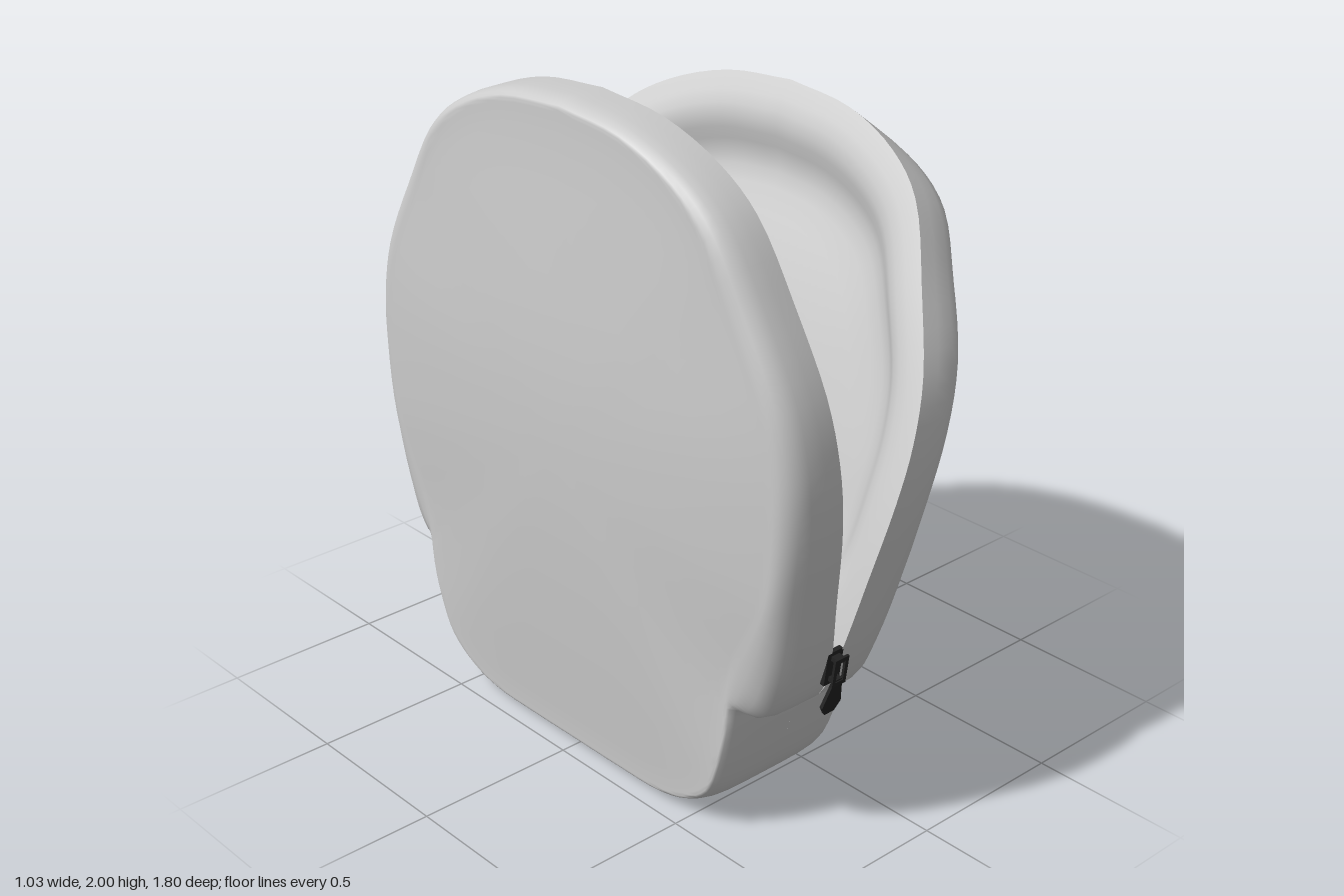
import * as THREE from 'three';
import { toCreasedNormals } from 'three/addons/utils/BufferGeometryUtils.js';

const grey = new THREE.MeshStandardMaterial({ color: 0xcccccc, side: THREE.DoubleSide });
const dark = new THREE.MeshStandardMaterial({ color: 0x222222 });
const { smoothstep, lerp, clamp } = THREE.MathUtils;

// Profile curve in the x-y plane, one point per 0.25 of the bag's flat height v
const curve = pts => new THREE.CatmullRomCurve3(
  pts.map(([x, y]) => new THREE.Vector3(x, y, 0)), false, 'catmullrom', 0.5);
const upright = xs => curve(xs.map((x, i) => [x, i * 0.25]));
const at = (c, v) => c.getPoint(clamp(v / 2, 0, 1));

// Closed bag outline as (z, v); the step is where the wide band meets the base
function bagOutline(step) {
  const half = new THREE.CatmullRomCurve3([
    [0, 0], [0.2, 0], [0.38, 0.006], [0.5, 0.04], [0.595, 0.11], [0.645, 0.22], [0.685, 0.37],
    ...step, [0.872, 0.8], [0.898, 1.03], [0.893, 1.2], [0.85, 1.38], [0.735, 1.6], [0.6, 1.8],
    [0.46, 1.9], [0.25, 1.975], [0, 2],
  ].map(([z, v]) => new THREE.Vector3(z, v, 0))).getPoints(76);
  const mirrored = half.slice(1, -1).reverse().map(p => new THREE.Vector3(-p.x, p.y, 0));
  return [...half, ...mirrored];
}
const notched = bagOutline([[0.702, 0.43], [0.738, 0.415], [0.778, 0.44], [0.828, 0.56]]);
const smooth = bagOutline([[0.698, 0.42], [0.715, 0.47], [0.75, 0.55], [0.805, 0.65]]);

// Rows of [inset from the outline, depth from rim (0) to outer face (1)]
const innerRows = [
  [0.9, 0.72], [0.7, 0.72], [0.52, 0.72], [0.38, 0.72], [0.3, 0.71], [0.25, 0.67], [0.21, 0.58],
  [0.175, 0.43], [0.145, 0.26], [0.115, 0.12], [0.085, 0.045], [0.05, 0.01], [0, 0],
];
const outerRows = groove => [
  [0, 0.3], [0.003, 0.6], [0.012, 0.78], [0.03, 0.91], [0.05, 0.98], [0.068, 1],
  [0.08, 1 - groove], [0.095, 1], [0.13, 1], [0.2, 1], [0.3, 1], [0.45, 1], [0.6, 1], [0.75, 1], [0.9, 1],
];

// Half shell swept from the inner face, over the rim, to the outer face
function shell(name, rim, edge, face, groove, flip) {
  const inner = innerRows.length;
  const rows = [...innerRows, ...outerRows(groove)];
  const n = notched.length, positions = [], index = [];
  rows.forEach(([d, f], i) => notched.forEach((p0, j) => {
    // The notch fades out away from the outline
    const p = p0.clone().lerp(smooth[j], smoothstep(d, 0, 0.08));
    // Lip is slim at the bottom; outer rounding is tight at top and bottom
    const low = lerp(0.35, 1, smoothstep(p.y, 0.3, 0.6));
    const tight = i < inner ? low : Math.min(low, lerp(1, 0.35, smoothstep(p.y, 1.6, 2)));
    const k = 1 - d * lerp(tight, 1, smoothstep(d, 0.1, 0.5)) / 0.9;
    const v = 1 + (p.y - 1) * k;
    // The face swells away from its edge; the base has no groove
    const bulge = 1 - Math.min(1, k / 0.917) ** 2.5;
    const depth = d === 0.08 ? lerp(1, f, smoothstep(p.y, 0.42, 0.55)) : f;
    const q = at(rim, v).lerp(at(edge, v).lerp(at(face, v), bulge), depth);
    positions.push(q.x, q.y, p.x * k);
    if (i === rows.length - 1) return;
    const a = i * n + j, b = i * n + (j + 1) % n, c = a + n, e = b + n;
    if (i > 0) index.push(...(flip ? [a, c, b] : [a, b, c]));
    if (i < rows.length - 2) index.push(...(flip ? [b, c, e] : [b, e, c]));
  }));
  const g = new THREE.BufferGeometry();
  g.setAttribute('position', new THREE.Float32BufferAttribute(positions, 3));
  g.setIndex(index);
  const mesh = new THREE.Mesh(toCreasedNormals(g, 0.9), grey);
  mesh.name = name;
  return mesh;
}

function plate(points, depth, hole) {
  const toV = ([x, y]) => new THREE.Vector2(x, y);
  const s = new THREE.Shape(points.map(toV));
  if (hole) s.holes.push(new THREE.Path(hole.map(toV)));
  return new THREE.ExtrudeGeometry(s, { depth, bevelEnabled: false }).translate(0, 0, -depth / 2);
}
const rect = (w, h) => [[-w, -h], [w, -h], [w, h], [-w, h]];

// Zip slider with a hanging tab; +z points away from the bag
function zipPull(name, sliderTurn, tabX, tabTilt) {
  const pull = new THREE.Group();
  pull.name = name;
  const slider = new THREE.Group();
  slider.name = 'slider';
  slider.rotation.z = sliderTurn;
  const add = (parent, geo, n, z) => {
    const m = new THREE.Mesh(geo, dark);
    m.name = n;
    m.position.z = z;
    parent.add(m);
    return m;
  };
  add(slider, new THREE.BoxGeometry(0.058, 0.108, 0.014), 'sliderBase', -0.008);
  add(slider, plate(rect(0.026, 0.045), 0.008, rect(0.014, 0.032)), 'sliderFrame', 0.022);
  for (const y of [-0.034, 0.034])
    add(slider, new THREE.BoxGeometry(0.03, 0.014, 0.034), 'sliderPost', 0.006).position.y = y;
  const tab = add(pull, plate([
    [-0.016, 0.01], [-0.036, -0.075], [-0.018, -0.106], [0.018, -0.106], [0.036, -0.075], [0.016, 0.01],
  ], 0.01), 'pullTab', 0.016);
  tab.position.x = tabX;
  tab.position.y = sliderTurn ? -0.012 : -0.045;
  tab.rotation.x = tabTilt;
  pull.add(slider);
  return pull;
}

export function createModel() {
  const model = new THREE.Group();
  model.name = 'openBag';

  // Upright back half
  model.add(shell('backShell',
    upright([-0.22, -0.22, -0.225, -0.255, -0.272, -0.29, -0.303, -0.306, -0.305]),
    upright([-0.455, -0.465, -0.465, -0.465, -0.465, -0.465, -0.465, -0.465, -0.46]),
    upright([-0.465, -0.49, -0.5, -0.51, -0.515, -0.515, -0.505, -0.49, -0.46]), 0, false));

  // Front half folded open
  model.add(shell('frontShell',
    curve([[-0.22, 0], [-0.22, 0.25], [-0.215, 0.5], [-0.16, 0.745], [-0.085, 0.985],
      [0.01, 1.215], [0.12, 1.435], [0.255, 1.66], [0.4, 1.88]]),
    curve([[0, 0], [0, 0.25], [0, 0.49], [0.045, 0.72], [0.095, 0.94],
      [0.2, 1.2], [0.31, 1.42], [0.42, 1.61], [0.52, 1.78]]),
    curve([[-0.005, 0], [0.012, 0.25], [0.03, 0.5], [0.1, 0.74], [0.175, 1],
      [0.255, 1.24], [0.335, 1.44], [0.43, 1.63], [0.52, 1.78]]), 0.08, true));

  // Zip pulls where the opening ends on each side
  for (const side of [1, -1]) {
    const pull = zipPull(side > 0 ? 'frontZipPull' : 'rearZipPull', 0, 0, 0.12);
    pull.position.set(-0.222, 0.55, side * 0.832);
    pull.rotation.set(0.14, side > 0 ? 0 : Math.PI, 0, 'YXZ');
    model.add(pull);
  }

  // Pocket zip pull on the outer face
  const pocket = zipPull('pocketZipPull', Math.PI / 2, -0.03, -0.1);
  pocket.position.set(0.19, 1.08, 0.513);
  pocket.rotation.set(0.28, Math.PI / 2, 0, 'YXZ');
  model.add(pocket);

  return model;
}
